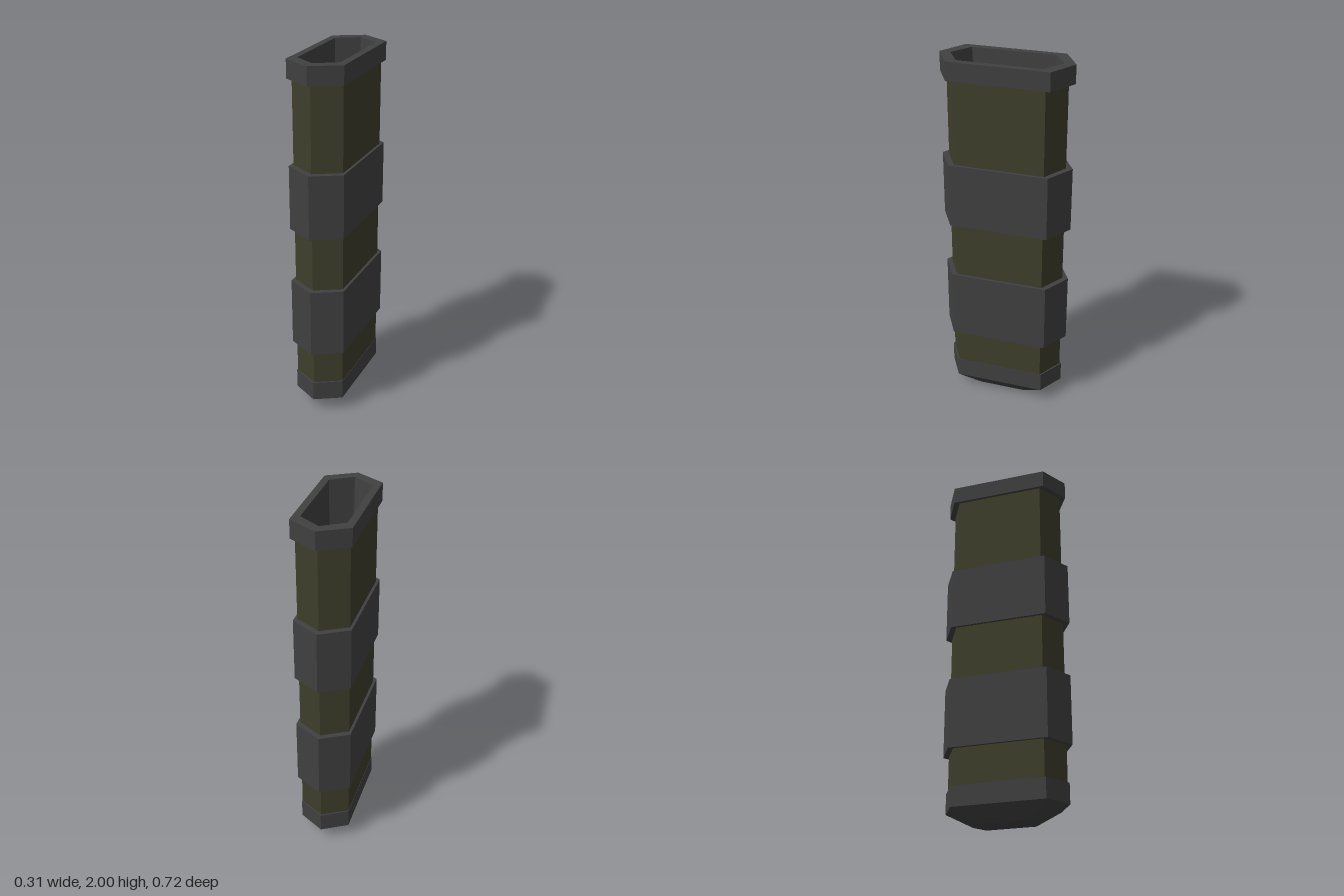
import * as THREE from 'three';

const grey = new THREE.MeshStandardMaterial({ color: 0x404040 });
grey.name = 'dark grey fittings';
const olive = new THREE.MeshStandardMaterial({ color: 0x3e3e2c });
olive.name = 'olive casing';
const purple = new THREE.MeshStandardMaterial({ color: 0x300d40 });
purple.name = 'purple floor';

// Long hexagon: x half width, z of the end points, z of the shoulders
const hexRing = ([y, x, z, s]) => [
  [0, y, z], [x, y, s], [x, y, -s], [0, y, -z], [-x, y, -s], [-x, y, s],
];

// Skin a list of hexagons; a path going up faces out, a path going down faces in
function loft(name, material, sections, { capStart = false, capEnd = false } = {}) {
  const rings = sections.map(hexRing);
  const pos = [];
  const tri = (a, b, c) => pos.push(...a, ...b, ...c);
  for (let r = 0; r + 1 < rings.length; r++) {
    for (let i = 0; i < 6; i++) {
      const j = (i + 1) % 6;
      const [lo, hi] = [rings[r], rings[r + 1]];
      tri(lo[i], lo[j], hi[j]);
      tri(lo[i], hi[j], hi[i]);
    }
  }
  const first = rings[0], last = rings[rings.length - 1];
  for (let i = 1; i < 5; i++) {
    if (capStart) tri(first[0], first[i + 1], first[i]);
    if (capEnd) tri(last[0], last[i], last[i + 1]);
  }
  const geometry = new THREE.BufferGeometry();
  geometry.setAttribute('position', new THREE.Float32BufferAttribute(pos, 3));
  geometry.computeVertexNormals();
  const mesh = new THREE.Mesh(geometry, material);
  mesh.name = name;
  return mesh;
}

export function createModel() {
  const group = new THREE.Group();
  group.name = 'scabbard';
  const body = [0.14, 0.325, 0.245];
  const opening = [0.117, 0.3, 0.225];
  const floor = [0.085, 0.19, 0.143];

  // Casing
  group.add(loft('casing', olive, [[0.15, ...body], [1.95, ...body]]));

  // Two wrapped bands
  const bands = [
    ['lowerBand', 0.39, 0.775, [0.155, 0.357, 0.27]],
    ['upperBand', 1.085, 1.44, [0.155, 0.361, 0.27]],
  ];
  for (const [name, y0, y1, size] of bands) {
    group.add(loft(name, grey, [[y0, ...body], [y0, ...size], [y1, ...size], [y1, ...body]]));
  }

  // Mouth rim
  const rim = [0.156, 0.36, 0.272];
  group.add(loft('mouthRim', grey, [[1.9, ...body], [1.9, ...rim], [2, ...rim], [2, ...opening]]));

  // Tapering inner walls and floor
  group.add(loft('innerWalls', grey, [[2, ...opening], [0.1, ...floor]]));
  group.add(loft('innerFloor', purple, [[0.1, ...floor]], { capEnd: true }));

  // Bevelled tip
  const tip = [0.142, 0.335, 0.252];
  group.add(loft('tip', grey,
    [[0, 0.075, 0.18, 0.135], [0.08, ...tip], [0.19, ...tip], [0.19, ...body]],
    { capStart: true }));

  return group;
}
